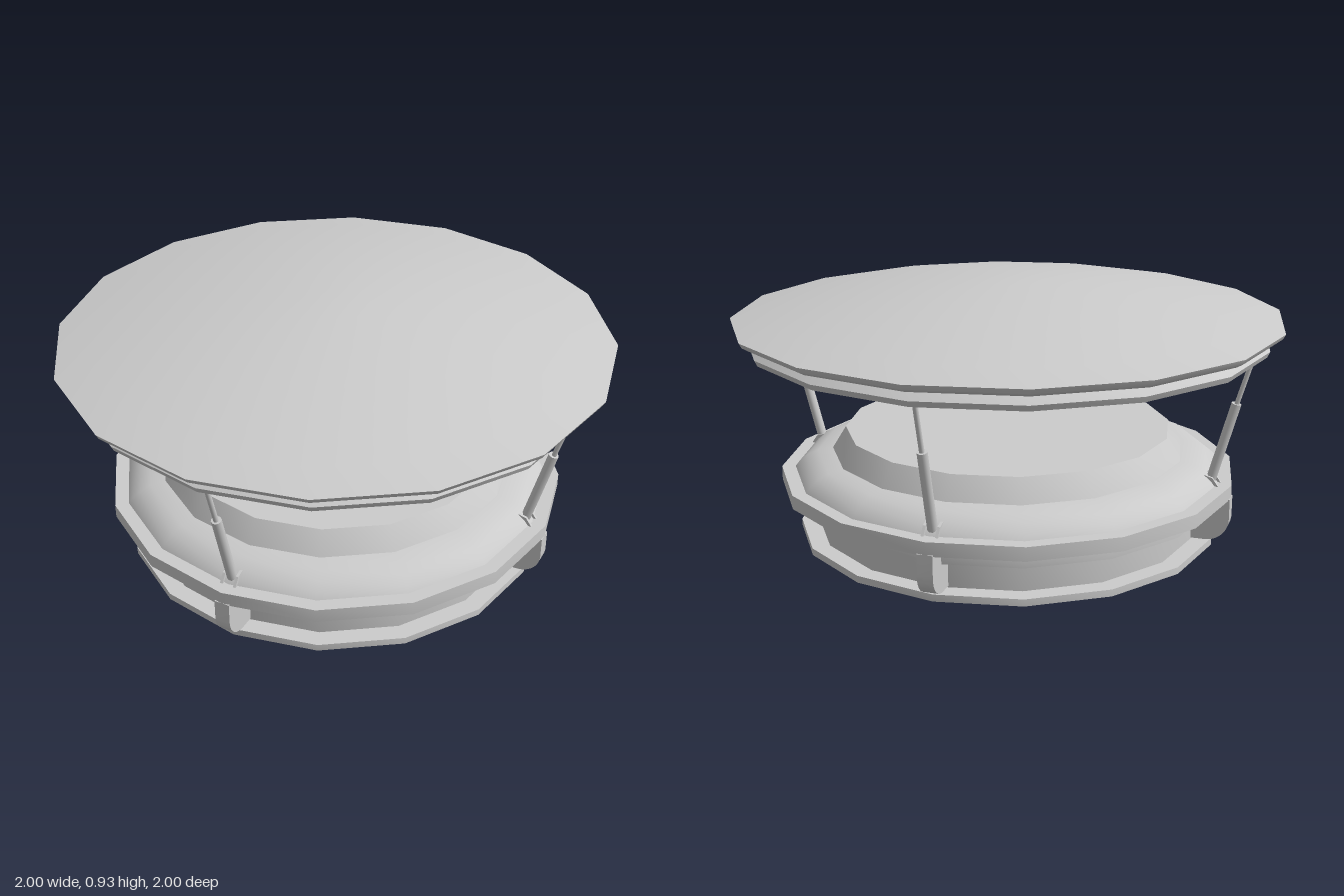
import * as THREE from 'three';
import { toCreasedNormals } from 'three/addons/utils/BufferGeometryUtils.js';

const SIDES = 16;
const material = new THREE.MeshStandardMaterial({ color: 0xcccccc });

function add(parent, name, geometry) {
  const mesh = new THREE.Mesh(geometry, material);
  mesh.name = name;
  parent.add(mesh);
  return mesh;
}

// Sixteen-sided turned part; profile of [radius, height] runs from bottom to top
function turned(parent, name, profile) {
  const points = profile.map(([r, y]) => new THREE.Vector2(r, y));
  return add(parent, name, toCreasedNormals(new THREE.LatheGeometry(points, SIDES), 0.55));
}

// Rod between two points in the z = 0 plane
function rod(parent, name, a, b, radius) {
  const from = new THREE.Vector3(a[0], a[1], 0);
  const to = new THREE.Vector3(b[0], b[1], 0);
  const dir = to.clone().sub(from);
  const mesh = add(parent, name, new THREE.CylinderGeometry(radius, radius, dir.length(), 10));
  mesh.position.copy(from).addScaledVector(dir, 0.5);
  mesh.quaternion.setFromUnitVectors(new THREE.Vector3(0, 1, 0), dir.normalize());
}

// Plate drawn in x, y and thickened evenly about the given z
function plate(parent, name, shape, depth, z = 0) {
  const geometry = new THREE.ExtrudeGeometry(shape, { depth, bevelEnabled: false, curveSegments: 8 });
  geometry.translate(0, 0, z - depth / 2);
  add(parent, name, toCreasedNormals(geometry, 0.55));
}

export function createModel() {
  const model = new THREE.Group();
  model.name = 'canopiedDrum';

  // Drum
  turned(model, 'basePlate', [[0, 0], [0.775, 0], [0.775, 0.025], [0.7, 0.025]]);
  turned(model, 'drumWall', [[0.71, 0.02], [0.71, 0.19]]);
  turned(model, 'thinBand', [[0.7, 0.132], [0.77, 0.132], [0.77, 0.156], [0.7, 0.156]]);
  turned(model, 'flange', [[0.7, 0.185], [0.84, 0.185], [0.84, 0.235], [0.76, 0.235]]);
  turned(model, 'shoulder', [
    [0.79, 0.235], [0.775, 0.254], [0.745, 0.278], [0.705, 0.296], [0.65, 0.304],
    [0.6, 0.385], [0, 0.385],
  ]);

  // Canopy: upper dome over a narrower lower plate
  const dome = [[0, 0.77], [0.97, 0.77], [0.99, 0.782], [1, 0.8]];
  for (let i = 1; i <= 8; i++) {
    const r = 1 - i / 8;
    dome.push([r, 0.8 + 0.13 * (1 - Math.pow(r, 1.75))]);
  }
  turned(model, 'canopyDome', dome);
  turned(model, 'canopyLowerPlate', [
    [0, 0.722], [0.9, 0.722], [0.92, 0.714], [0.94, 0.714], [0.95, 0.735], [0.93, 0.75], [0.9, 0.775],
  ]);
  turned(model, 'ceilingBoss', [
    [0, 0.703], [0.26, 0.703], [0.26, 0.69], [0.358, 0.69], [0.358, 0.713], [0.41, 0.713], [0.41, 0.725],
  ]);

  // Rounded lug below the flange
  const lug = new THREE.Shape();
  lug.moveTo(0.68, 0.03);
  lug.lineTo(0.755, 0.03);
  lug.absarc(0.755, 0.115, 0.085, -Math.PI / 2, 0, false);
  lug.lineTo(0.84, 0.19);
  lug.lineTo(0.68, 0.19);

  // Triangular cheek beside the strut foot
  const cheek = new THREE.Shape();
  cheek.moveTo(0.8, 0.23);
  cheek.lineTo(0.775, 0.265);
  cheek.lineTo(0.7, 0.287);
  cheek.lineTo(0.7, 0.23);

  // Four supports, one on each axis
  for (let i = 0; i < 4; i++) {
    const support = new THREE.Group();
    support.name = 'support' + (i + 1);
    support.rotation.y = i * Math.PI / 2;
    plate(support, 'lug', lug, 0.056);
    for (const side of [-1, 1]) plate(support, 'footCheek', cheek, 0.01, side * 0.025);
    rod(support, 'strutSleeve', [0.762, 0.24], [0.843, 0.54], 0.018);
    rod(support, 'strutRod', [0.843, 0.535], [0.898, 0.725], 0.009);
    model.add(support);
  }
  return model;
}
